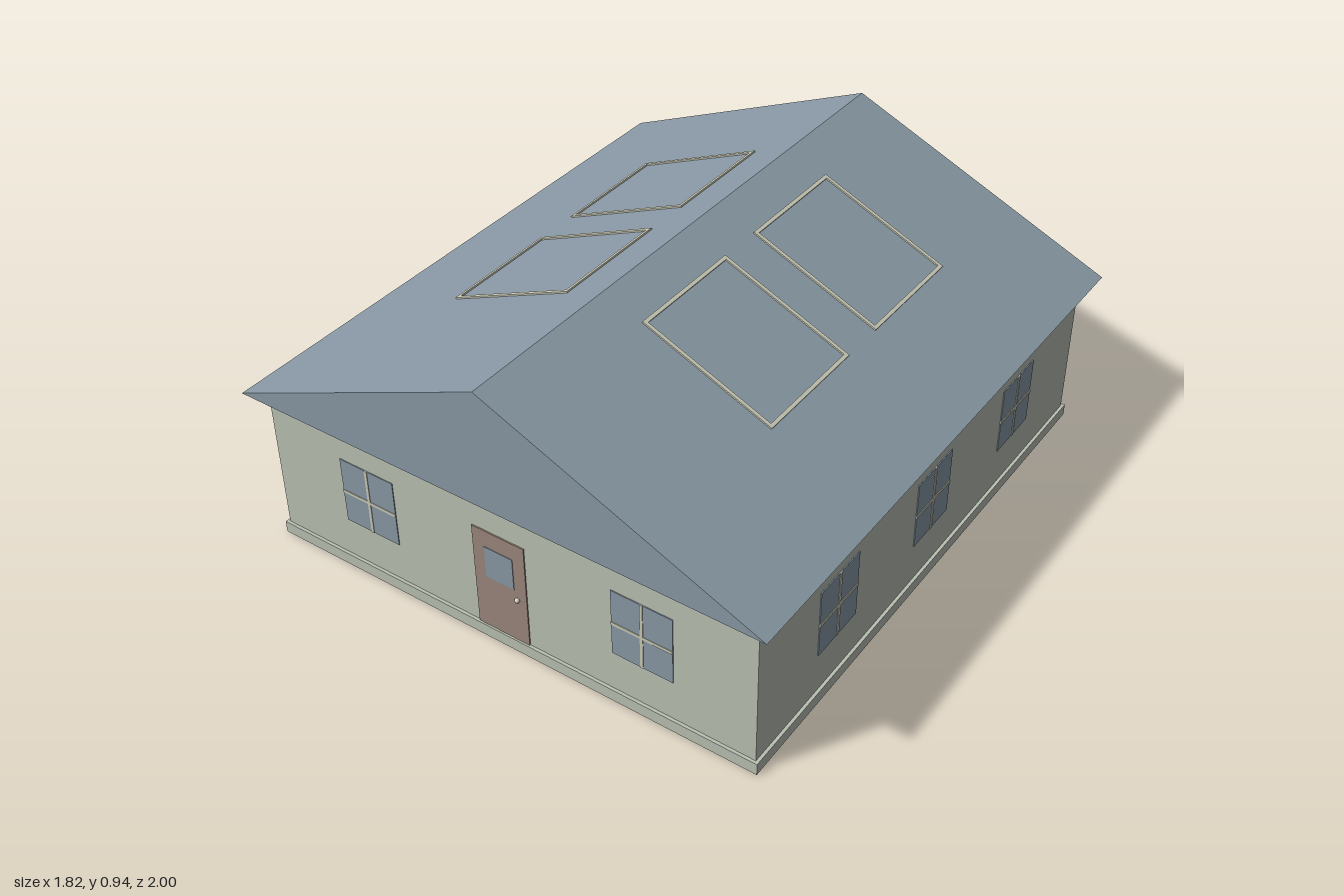
import * as THREE from 'three';

const material = (name, color) => {
  const m = new THREE.MeshStandardMaterial({ color });
  m.name = name;
  return m;
};

export function createModel() {
  const house = new THREE.Group();
  house.name = 'house';

  const wall = material('pale sage wall', 0xbac0b3);
  const slate = material('slate blue', 0x8999a5);
  const trim = material('light cream trim', 0xcbcbb9);
  const wood = material('brown door', 0x9a867c);

  const HALF_W = 0.858, HALF_D = 0.947;   // wall half sizes
  const EAVE = 0.545, RIDGE = 0.937, ROOF_W = 0.912;

  function box(parent, name, mat, w, h, d, x, y, z) {
    const mesh = new THREE.Mesh(new THREE.BoxGeometry(w, h, d), mat);
    mesh.name = name;
    mesh.position.set(x, y, z);
    parent.add(mesh);
    return mesh;
  }

  // Body with projecting bands at the foot and under the eaves
  box(house, 'walls', wall, HALF_W * 2, 0.5, HALF_D * 2, 0, 0.28, 0);
  box(house, 'plinth', wall, 1.736, 0.04, 1.914, 0, 0.02, 0);
  box(house, 'eavesBand', wall, 1.736, 0.025, 1.914, 0, EAVE - 0.0125, 0);

  // Solid gabled roof
  const gable = new THREE.Shape([
    new THREE.Vector2(-ROOF_W, EAVE),
    new THREE.Vector2(ROOF_W, EAVE),
    new THREE.Vector2(0, RIDGE),
  ]);
  const roofGeometry = new THREE.ExtrudeGeometry(gable, { depth: 2, bevelEnabled: false });
  roofGeometry.translate(0, 0, -1);
  const roof = new THREE.Mesh(roofGeometry, slate);
  roof.name = 'roof';
  house.add(roof);

  // Four-pane window: glass with a thin cross of glazing bars
  function addWindow(name, x, z, turn) {
    const win = new THREE.Group();
    win.name = name;
    win.position.set(x, 0.295, z);
    win.rotation.y = turn;
    box(win, 'glass', slate, 0.203, 0.232, 0.004, 0, 0, 0.001);
    box(win, 'uprightBar', trim, 0.01, 0.232, 0.004, 0, 0, 0.003);
    box(win, 'crossBar', trim, 0.203, 0.01, 0.004, 0, -0.003, 0.003);
    house.add(win);
  }
  for (const x of [-0.49, 0.49]) addWindow('frontWindow', x, HALF_D, 0);
  for (const x of [-0.49, 0, 0.49]) addWindow('backWindow', x, -HALF_D, Math.PI);
  for (const z of [-0.54, 0, 0.54]) {
    addWindow('leftWindow', HALF_W, z, Math.PI / 2);
    addWindow('rightWindow', -HALF_W, z, -Math.PI / 2);
  }

  // Front door with a small light and a knob
  const door = new THREE.Group();
  door.name = 'frontDoor';
  door.position.z = HALF_D;
  box(door, 'doorLeaf', wood, 0.185, 0.365, 0.006, 0, 0.2225, 0.001);
  box(door, 'doorGlass', slate, 0.1, 0.112, 0.004, 0, 0.29, 0.004);
  const knob = new THREE.Mesh(new THREE.SphereGeometry(0.008, 16, 12), trim);
  knob.name = 'doorKnob';
  knob.position.set(0.06, 0.2, 0.007);
  door.add(knob);
  house.add(door);

  // Skylight frames lying on both slopes
  const pitch = Math.atan2(RIDGE - EAVE, ROOF_W);
  const w = 0.43 / Math.cos(pitch) / 2, d = 0.415 / 2, bar = 0.012;
  const rect = (C, a, b) => new C([[-a, -b], [a, -b], [a, b], [-a, b]]
    .map(([x, y]) => new THREE.Vector2(x, y)));
  const frameShape = rect(THREE.Shape, w, d);
  frameShape.holes.push(rect(THREE.Path, w - bar, d - bar));
  const frameGeometry = new THREE.ExtrudeGeometry(frameShape, { depth: 0.006, bevelEnabled: false });
  frameGeometry.rotateX(-Math.PI / 2);
  for (const side of [-1, 1]) {
    for (const z of [-0.343, 0.225]) {
      const frame = new THREE.Mesh(frameGeometry, trim);
      frame.name = 'skylightFrame';
      frame.position.set(side * 0.345, RIDGE - 0.345 * Math.tan(pitch) - 0.001, z);
      frame.rotation.z = -side * pitch;
      house.add(frame);
    }
  }

  return house;
}
